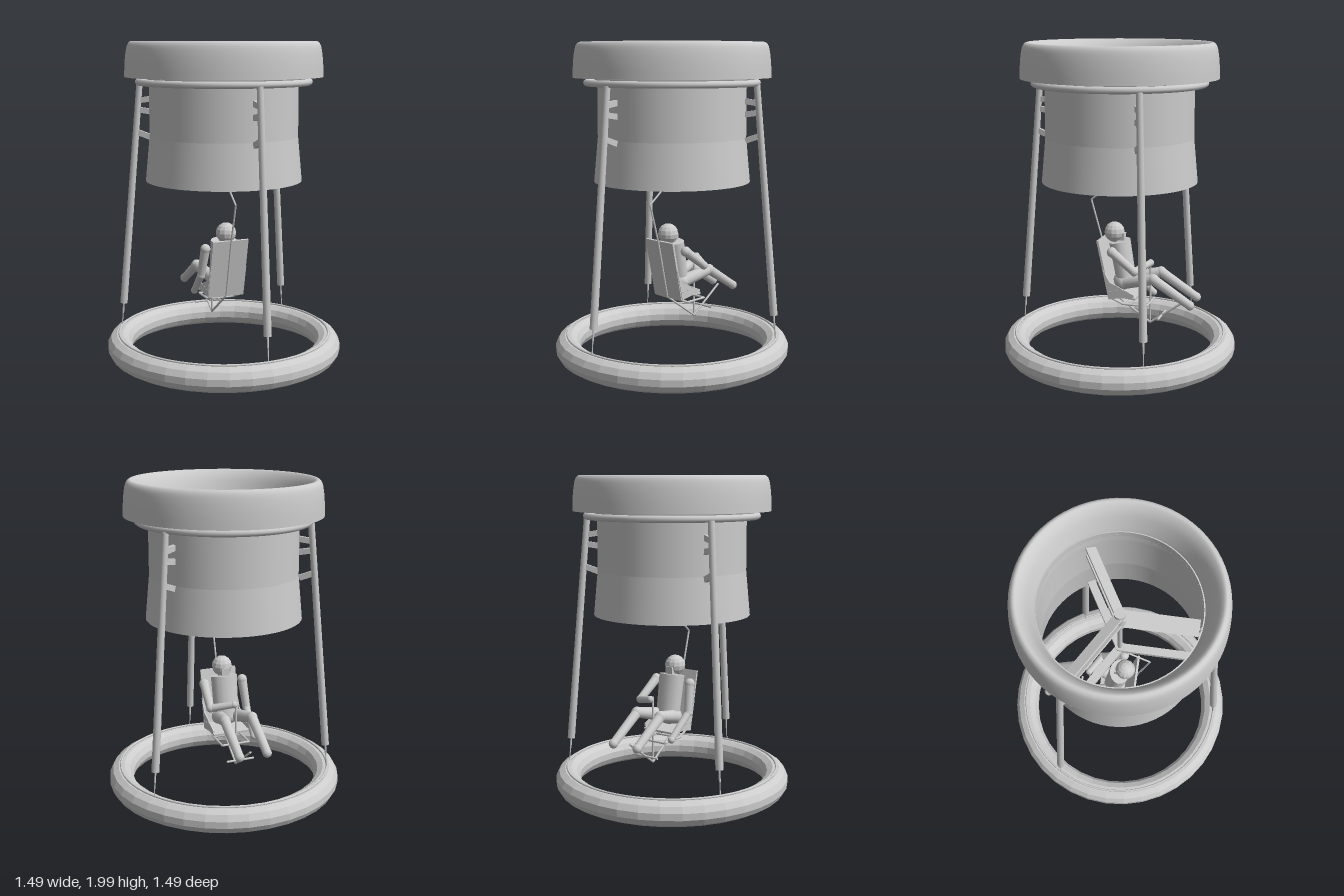
import * as THREE from 'three';

const grey = new THREE.MeshStandardMaterial({ color: 0xcccccc });
const thin = new THREE.MeshStandardMaterial({ color: 0xcccccc, side: THREE.DoubleSide });
const faceted = new THREE.MeshStandardMaterial({ color: 0xcccccc, flatShading: true });
const V = (p) => new THREE.Vector3(...p);

function add(parent, name, geometry, material = grey, pos = [0, 0, 0]) {
  const mesh = new THREE.Mesh(geometry, material);
  mesh.name = name;
  mesh.position.set(...pos);
  parent.add(mesh);
  return mesh;
}

// Straight tube between two points, optionally tapered
function rod(parent, name, a, b, r0, r1 = r0, sides = 10) {
  const from = V(a), dir = V(b).sub(from);
  const mesh = add(parent, name, new THREE.CylinderGeometry(r1, r0, dir.length(), sides));
  mesh.position.copy(from).addScaledVector(dir, 0.5);
  mesh.quaternion.setFromUnitVectors(new THREE.Vector3(0, 1, 0), dir.normalize());
  return mesh;
}

function path(parent, name, points, r) {
  for (let i = 1; i < points.length; i++) rod(parent, name, points[i - 1], points[i], r, r, 8);
}

// Limb with ball joints at both ends
function limb(parent, name, a, b, r0, r1) {
  rod(parent, name, a, b, r0, r1, 12);
  for (const [p, r] of [[a, r0], [b, r1]]) add(parent, name + 'Joint', new THREE.SphereGeometry(r * 1.08, 12, 8), grey, p);
}

function lathe(parent, name, pts, segments = 64, material = thin) {
  return add(parent, name, new THREE.LatheGeometry(pts.map(([r, y]) => new THREE.Vector2(r, y)), segments), material);
}

function ring(parent, name, radius, tube, y) {
  add(parent, name, new THREE.TorusGeometry(radius, tube, 10, 64), grey, [0, y, 0]).rotation.x = Math.PI / 2;
}

function buildDuct() {
  const g = new THREE.Group();
  g.name = 'duct';
  // Bell-mouth lip: outer skirt, rounded crest, inner throat
  const crest = new THREE.SplineCurve([[0.61, 1.785], [0.607, 1.86], [0.6, 1.93], [0.588, 1.98], [0.565, 2], [0.54, 1.985],
    [0.51, 1.94], [0.48, 1.86], [0.463, 1.8], [0.458, 1.73]].map(([r, y]) => new THREE.Vector2(r, y)));
  lathe(g, 'intakeLip', crest.getPoints(32).map((p) => [p.x, p.y]), 72);
  lathe(g, 'lipUnderside', [[0.61, 1.785], [0.46, 1.82]]);
  lathe(g, 'ductFlange', [[0.46, 1.77], [0.475, 1.77], [0.475, 1.79], [0.46, 1.79]]);
  lathe(g, 'ductBarrel', [[0.46, 1.82], [0.461, 1.42]]);
  lathe(g, 'ductSkirt', [[0.461, 1.42], [0.487, 1.145]]);
  ring(g, 'mountingHoop', 0.525, 0.021, 1.755);
  return g;
}

function buildRotor() {
  const g = new THREE.Group();
  g.name = 'rotor';
  add(g, 'upperHub', new THREE.CylinderGeometry(0.035, 0.035, 0.16, 16), grey, [0, 1.66, 0]);
  rod(g, 'driveShaft', [0, 1.14, 0], [0, 1.7, 0], 0.014);
  add(g, 'lowerHub', new THREE.CylinderGeometry(0.03, 0.03, 0.07, 16), grey, [0, 1.19, 0]);
  for (let i = 0; i < 3; i++) {
    const spoke = new THREE.Group();
    spoke.name = 'spoke' + (i + 1);
    spoke.rotation.y = i * Math.PI * 2 / 3;
    for (const y of [1.71, 1.62])
      add(spoke, 'blade', new THREE.BoxGeometry(0.065, 0.01, 0.43), grey, [0, y, 0.235]).rotation.z = 0.4;
    add(spoke, 'lowerStrut', new THREE.BoxGeometry(0.05, 0.025, 0.46), grey, [0, 1.2, 0.245]);
    g.add(spoke);
  }
  return g;
}

// Leg with duct brackets and a thin cable to the base ring
function buildLeg() {
  const g = new THREE.Group();
  g.name = 'supportLeg';
  rod(g, 'legTube', [0, 1.745, 0.53], [0, 0.32, 0.657], 0.02, 0.024, 14);
  rod(g, 'cableEnd', [0, 0.32, 0.657], [0, 0.25, 0.663], 0.006);
  rod(g, 'baseCable', [0, 0.26, 0.663], [0, 0.15, 0.672], 0.0035);
  for (const [y, r, tilt] of [[1.64, 0.53, -0.15], [1.57, 0.53, 0.15], [1.42, 0.54, 0.35]])
    add(g, 'ductBracket', new THREE.BoxGeometry(0.022, 0.035, 0.085), grey, [0, y, r - 0.035]).rotation.x = -tilt;
  return g;
}

function buildBase() {
  const g = new THREE.Group();
  g.name = 'baseRing';
  const section = [];
  for (let i = 0; i <= 12; i++) {
    const a = (i + 0.5) * Math.PI / 6;
    section.push([0.667 + 0.079 * Math.cos(a), 0.084 + 0.081 * Math.sin(a)]);
  }
  lathe(g, 'floatTube', section.map(([r, y]) => [r, y]), 36, new THREE.MeshStandardMaterial({ color: 0xcccccc, flatShading: true, side: THREE.DoubleSide }));
  ring(g, 'baseCord', 0.67, 0.007, 0.166);
  return g;
}

function buildSeat() {
  const g = new THREE.Group();
  g.name = 'seat';
  add(g, 'backrest', new THREE.BoxGeometry(0.24, 0.385, 0.014), grey, [0, 0.585, 0.07]).rotation.x = 0.21;
  add(g, 'seatPan', new THREE.BoxGeometry(0.24, 0.012, 0.17), grey, [0, 0.42, -0.055]).rotation.x = -0.1;
  // Side cheeks joining backrest and pan
  const cheek = new THREE.Shape([[-0.075, 0.59], [-0.03, 0.51], [0.13, 0.44], [0.13, 0.425], [-0.03, 0.4]].map(([z, y]) => new THREE.Vector2(z, y)));
  for (const s of [-1, 1]) {
    const geo = new THREE.ExtrudeGeometry(cheek, { depth: 0.008, bevelEnabled: false });
    add(g, 'sideCheek', geo, grey, [s * 0.12 - 0.004, 0, 0]).rotation.y = Math.PI / 2;
    for (let i = 0; i < 3; i++)
      add(g, 'rivet', new THREE.SphereGeometry(0.005, 8, 6), grey, [s * 0.125, 0.45 + i * 0.008, 0.025 - i * 0.04]);
    path(g, 'seatRail', [[s * 0.09, 0.4, 0.035], [s * 0.09, 0.365, -0.05], [s * 0.09, 0.365, -0.205]], 0.007);
  }
  for (const z of [-0.05, -0.205]) rod(g, 'crossRail', [-0.09, 0.365, z], [0.09, 0.365, z], 0.007);
  path(g, 'hanger', [[0, 1.16, 0], [0, 1.01, 0.19], [0, 0.77, 0.122], [0, 0.4, 0.04]], 0.006);
  path(g, 'keelTube', [[0, 0.4, 0.04], [0, 0.23, -0.205], [0, 0.4, -0.44]], 0.007);
  rod(g, 'controlStick', [0, 0.23, -0.205], [0, 0.65, -0.205], 0.006);
  rod(g, 'footBar', [-0.09, 0.285, -0.28], [0.09, 0.285, -0.28], 0.007);
  return g;
}

// Seated figure facing the back
function buildPilot() {
  const g = new THREE.Group();
  g.name = 'pilot';
  const torso = rod(g, 'torso', [0, 0.5, -0.045], [0, 0.755, 0.0], 0.072, 0.078, 16);
  torso.scale.set(1.1, 1, 0.85);
  add(g, 'hips', new THREE.SphereGeometry(0.08, 14, 10), grey, [0, 0.5, -0.035]).scale.set(1.1, 0.75, 0.9);
  rod(g, 'neck', [0, 0.74, 0.01], [0, 0.79, 0.025], 0.032);
  add(g, 'head', new THREE.SphereGeometry(0.065, 12, 8), faceted, [0, 0.81, 0.035]);
  add(g, 'chin', new THREE.BoxGeometry(0.05, 0.045, 0.04), grey, [0, 0.785, -0.015]);
  for (const s of [-1, 1]) {
    limb(g, 'thigh', [s * 0.05, 0.495, -0.04], [s * 0.09, 0.545, -0.25], 0.043, 0.033);
    limb(g, 'shin', [s * 0.09, 0.545, -0.25], [s * 0.09, 0.4, -0.485], 0.032, 0.027);
  }
  // One hand on the stick, the other resting beside the seat
  const arms = [[[0.13, 0.71, 0.01], [0.145, 0.6, -0.14], [0.015, 0.63, -0.21]],
    [[-0.13, 0.71, 0.01], [-0.145, 0.53, -0.03], [-0.13, 0.39, -0.19]]];
  for (const [shoulder, elbow, hand] of arms) {
    limb(g, 'upperArm', shoulder, elbow, 0.03, 0.025);
    limb(g, 'forearm', elbow, hand, 0.024, 0.021);
  }
  return g;
}

export function createModel() {
  const model = new THREE.Group();
  model.name = 'ductedFanFlyer';
  model.add(buildDuct(), buildRotor(), buildBase(), buildSeat(), buildPilot());
  for (let i = 0; i < 3; i++) {
    const leg = buildLeg();
    leg.rotation.y = i * Math.PI * 2 / 3;
    model.add(leg);
  }
  return model;
}
